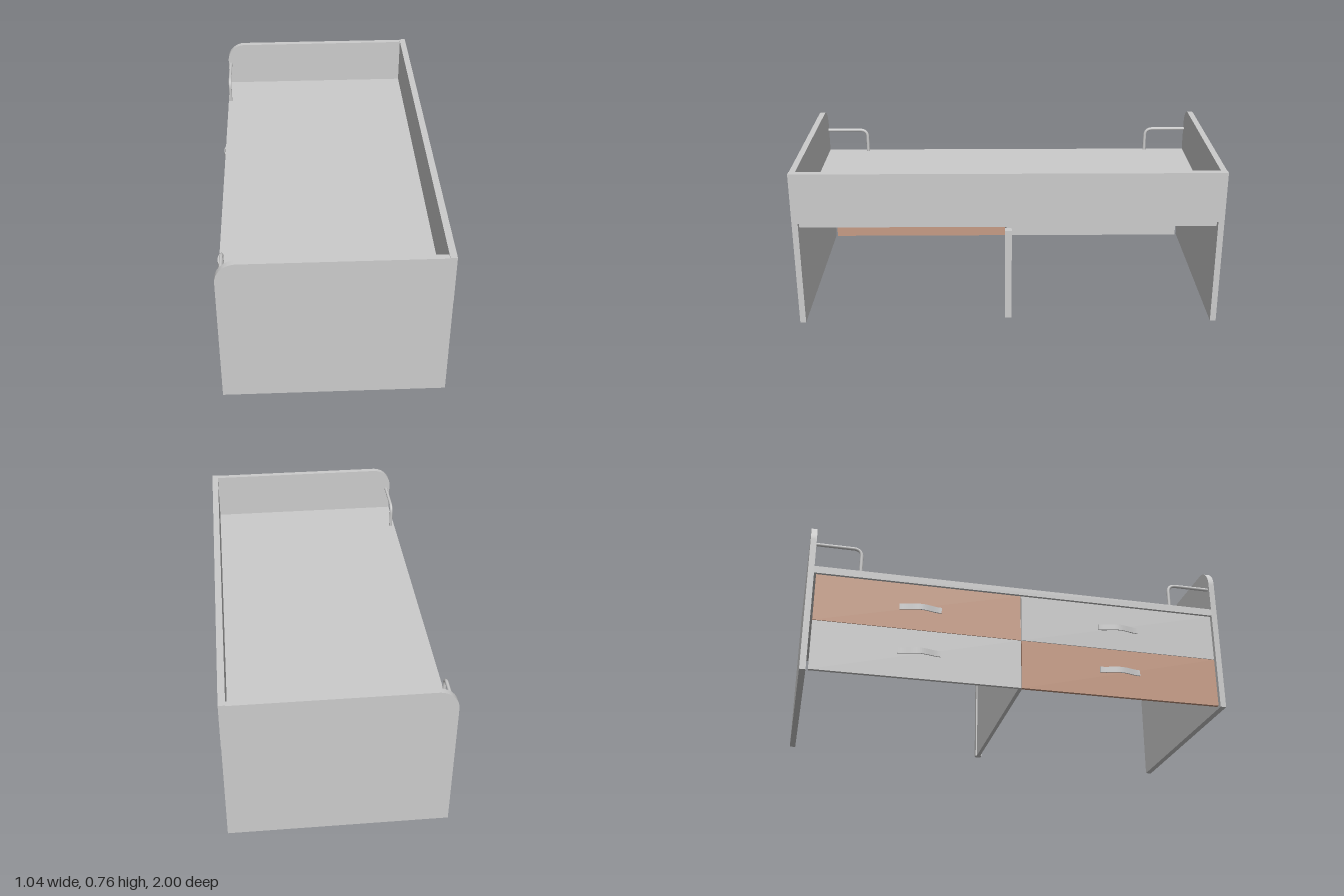
import * as THREE from 'three';

const grey = new THREE.MeshStandardMaterial({ color: 0xcccccc });
const brown = new THREE.MeshStandardMaterial({ color: 0xc69b84 });

function add(parent, name, geometry, material = grey) {
  const mesh = new THREE.Mesh(geometry, material);
  mesh.name = name;
  parent.add(mesh);
  return mesh;
}

// Box given by its minimum and maximum corners
function box(parent, name, [x0, y0, z0], [x1, y1, z1], material) {
  const mesh = add(parent, name, new THREE.BoxGeometry(x1 - x0, y1 - y0, z1 - z0), material);
  mesh.position.set((x0 + x1) / 2, (y0 + y1) / 2, (z0 + z1) / 2);
  return mesh;
}

// End panel outline with one rounded upper corner
function endPanelGeometry() {
  const s = new THREE.Shape();
  s.moveTo(-0.495, 0);
  s.lineTo(0.517, 0);
  s.lineTo(0.517, 0.758);
  s.lineTo(-0.4, 0.758);
  s.absarc(-0.4, 0.663, 0.095, Math.PI / 2, Math.PI, false);
  return new THREE.ExtrudeGeometry(s, { depth: 0.028, bevelEnabled: false, curveSegments: 12 });
}

// Bowed strip handle: a bell curve along its length, extruded upwards
function handleGeometry() {
  const n = 20, outer = [], inner = [];
  for (let i = 0; i <= n; i++) {
    const t = i / n;
    const bow = 0.019 * (0.5 - 0.5 * Math.cos(2 * Math.PI * t));
    const along = (t - 0.5) * 0.196;
    outer.push(new THREE.Vector2(-0.5 - bow, along));
    inner.unshift(new THREE.Vector2(-0.494 - bow, along));
  }
  const g = new THREE.ExtrudeGeometry(new THREE.Shape([...outer, ...inner]), { depth: 0.028, bevelEnabled: false });
  return g.rotateX(-Math.PI / 2).translate(0, -0.014, 0);
}

// Bent guard rail from the platform up and across to the end panel
function railGeometry(side, x) {
  const v = (y, z) => new THREE.Vector3(x, y, side * z);
  const path = new THREE.CurvePath();
  path.add(new THREE.LineCurve3(v(0.51, 0.76), v(0.6, 0.76)));
  path.add(new THREE.QuadraticBezierCurve3(v(0.6, 0.76), v(0.64, 0.76), v(0.64, 0.8)));
  path.add(new THREE.LineCurve3(v(0.64, 0.8), v(0.64, 0.975)));
  return new THREE.TubeGeometry(path, 40, 0.008, 10, false);
}

export function createModel() {
  const bed = new THREE.Group();
  bed.name = 'bed';

  // End panels and guard rails
  for (const side of [1, -1]) {
    const label = side > 0 ? 'front' : 'rear';
    add(bed, label + 'EndPanel', endPanelGeometry()).position.z = side > 0 ? 0.972 : -1;
    add(bed, label + 'GuardRail', railGeometry(side, side > 0 ? -0.475 : -0.483));
  }

  // Side board, sleeping platform and centre support
  box(bed, 'sideBoard', [0.487, 0.518, -1], [0.518, 0.761, 1]);
  box(bed, 'platform', [-0.495, 0.485, -0.972], [0.487, 0.52, 0.972]);
  box(bed, 'divider', [-0.48, 0.012, -0.009], [0.47, 0.485, 0.009]);
  box(bed, 'dividerPost', [0.47, 0.012, -0.016], [0.5, 0.47, 0.016]);

  // Drawer fronts in a checkerboard of colours, each with a handle
  const drawers = new THREE.Group();
  drawers.name = 'drawers';
  bed.add(drawers);
  for (const side of [1, -1]) {
    for (const row of [0, 1]) {
      const y0 = row ? 0.246 : 0.004;
      const near = side * 0.002, far = side * 0.962;
      const isBrown = (side > 0) === (row === 0);
      box(drawers, 'drawerFront', [-0.494, y0, Math.min(near, far)],
        [-0.478, y0 + (row ? 0.232 : 0.24), Math.max(near, far)], isBrown ? brown : grey);
      add(drawers, 'drawerHandle', handleGeometry()).position.set(0, row ? 0.355 : 0.133, side * 0.477);
    }
  }
  return bed;
}
